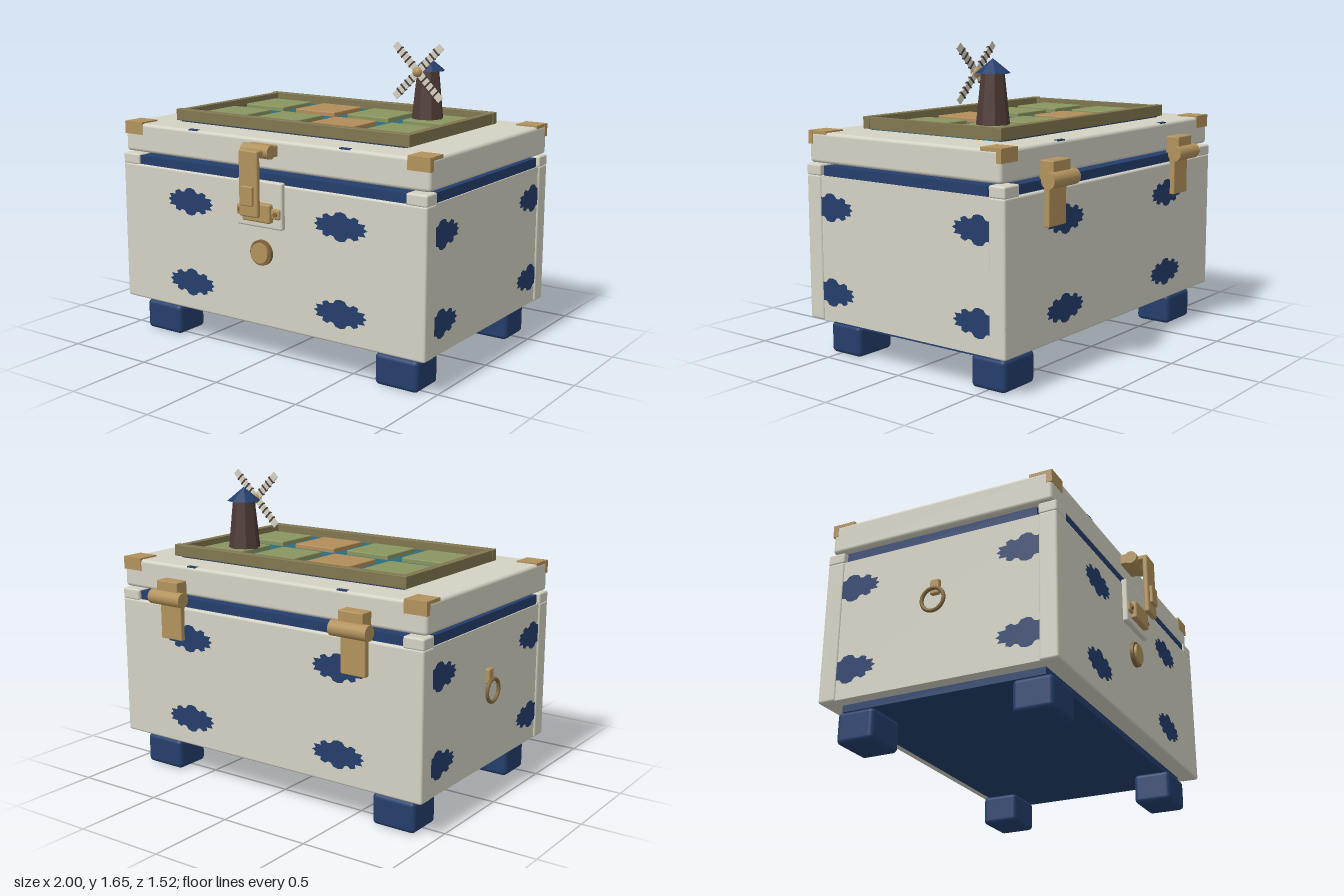
import * as THREE from 'three';
import { RoundedBoxGeometry } from 'three/addons/geometries/RoundedBoxGeometry.js';

const paint = (name, color) => {
  const m = new THREE.MeshStandardMaterial({ color });
  m.name = name;
  return m;
};

export function createModel() {
  const cream = paint('cream', 0xd4d2c4);
  const blue = paint('blue', 0x243e6c);
  const brass = paint('brass', 0xb2925c);
  const darkBrass = paint('dark brass', 0x80673c);
  const teal = paint('teal', 0x2c6c82);
  const green = paint('green', 0x88955f);
  const orange = paint('orange', 0xb28d59);
  const olive = paint('olive', 0x80764f);
  const brown = paint('brown', 0x4e3a35);

  const model = new THREE.Group();
  model.name = 'chest';
  const chest = new THREE.Group(); // x is measured from the chest's middle
  chest.name = 'chestParts';
  chest.position.x = 0.015;
  model.add(chest);

  const add = (name, geo, mat, x = 0, y = 0, z = 0, parent = chest) => {
    const mesh = new THREE.Mesh(geo, mat);
    mesh.name = name;
    mesh.position.set(x, y, z);
    parent.add(mesh);
    return mesh;
  };
  // Box from its two extents on each axis, with an optional rounded edge
  const box = (name, mat, [x0, x1], [y0, y1], [z0, z1], r = 0, parent = chest) => {
    const s = [x1 - x0, y1 - y0, z1 - z0];
    const geo = r ? new RoundedBoxGeometry(...s, 3, r) : new THREE.BoxGeometry(...s);
    return add(name, geo, mat, (x0 + x1) / 2, (y0 + y1) / 2, (z0 + z1) / 2, parent);
  };
  const mirrored = (s, a, b) => (s > 0 ? [a, b] : [-b, -a]);

  // Feet and base
  for (const s of [-1, 1])
    for (const z of [[0.352, 0.562], [-0.61, -0.4]])
      box('foot', blue, mirrored(s, 0.65, 0.9), [0, 0.168], z, 0.025);
  box('base', blue, [-0.9, 0.9], [0.163, 0.205], [-0.58, 0.53]);

  // Body: core with thick front and back panels, capped corners
  box('body', cream, [-0.972, 0.972], [0.2, 0.967], [-0.6, 0.55]);
  box('frontPanel', cream, [-0.98, 0.98], [0.197, 0.97], [0.53, 0.628], 0.012);
  box('backPanel', cream, [-0.98, 0.98], [0.197, 0.97], [-0.675, -0.578], 0.012);
  box('rimLong', blue, [-0.862, 0.862], [0.96, 1.018], [-0.655, 0.618]);
  box('rimWide', blue, [-0.965, 0.965], [0.96, 1.018], [-0.565, 0.517]);
  for (const s of [-1, 1])
    for (const z of [[0.53, 0.628], [-0.675, -0.578]])
      box('cornerCap', cream, mirrored(s, 0.862, 0.98), [0.965, 1.025], z, 0.01);

  // Lid with brass corners
  box('lid', cream, [-0.98, 0.98], [1.033, 1.192], [-0.653, 0.603], 0.018);
  for (const s of [-1, 1])
    for (const f of [-1, 1]) {
      const zEdge = f > 0 ? 0.606 : -0.657;
      const span = (d) => (f > 0 ? [zEdge - d, zEdge] : [zEdge, zEdge + d]);
      box('cornerTop', brass, mirrored(s, 0.855, 0.979), [1.182, 1.2], span(0.125));
      box('cornerFace', brass, mirrored(s, 0.855, 0.982), [1.13, 1.198], span(0.03));
    }

  // Painted flowers
  const quarter = [[0, 0.076], [0.028, 0.07], [0.042, 0.052], [0.06, 0.048], [0.08, 0.06],
    [0.108, 0.05], [0.105, 0.032], [0.15, 0.03], [0.137, 0.012]];
  const upper = [...quarter.slice(1).reverse().map(([x, y]) => [-x, y]), ...quarter];
  const outline = [[-0.16, 0], ...upper, [0.16, 0], ...upper.map(([x, y]) => [-x, -y])];
  const flower = new THREE.ShapeGeometry(new THREE.Shape(outline.map(([x, y]) => new THREE.Vector2(x, y))));
  for (const y of [0.355, 0.805])
    for (const s of [-1, 1]) {
      add('frontFlower', flower, blue, s * 0.49, y, 0.6305);
      add('backFlower', flower, blue, s * 0.49, y, -0.6775).rotation.y = Math.PI;
      for (const z of [0.465, -0.515])
        add('sideFlower', flower, blue, s * 0.9745, y, z).rotation.y = s * Math.PI / 2;
    }
  for (const s of [-1, 1])
    for (const z of [0.585, -0.635])
      box('lidPetal', blue, [s * 0.49 - 0.03, s * 0.49 + 0.03], [1.187, 1.194], [z - 0.012, z + 0.012]);

  // Framed field on the lid
  box('fieldFloor', teal, [-0.73, 0.73], [1.185, 1.215], [-0.46, 0.405]);
  box('fieldBase', blue, [-0.735, 0.715], [1.187, 1.203], [-0.465, 0.41]);
  for (const z of [[-0.484, -0.442], [0.386, 0.43]])
    box('frameLong', olive, [-0.758, 0.76], [1.2, 1.264], z, 0.004);
  for (const s of [-1, 1])
    box('frameShort', olive, mirrored(s, 0.714, 0.755), [1.2, 1.26], [-0.45, 0.395]);
  [-0.54, -0.182, 0.174, 0.534].forEach((x, i) => {
    [-0.225, 0.163].forEach((z, j) => {
      const mat = i === 1 + j ? orange : green;
      box('fieldTile', mat, [x - 0.135, x + 0.135], [1.21, 1.24], [z - 0.138, z + 0.138], 0.006);
    });
  });

  // Windmill
  const mill = new THREE.Group();
  mill.name = 'windmill';
  mill.position.set(0.48, 0, -0.215);
  chest.add(mill);
  const tower = add('tower', new THREE.CylinderGeometry(0.06, 0.088, 0.27, 8).toNonIndexed(), brown, 0, 1.37, 0, mill);
  const roof = add('roof', new THREE.ConeGeometry(0.092, 0.075, 8).toNonIndexed(), blue, 0, 1.537, 0, mill);
  for (const m of [tower, roof]) m.geometry.computeVertexNormals();
  const axle = add('axle', new THREE.CylinderGeometry(0.012, 0.012, 0.09, 10), brass, 0, 1.5, 0.07, mill);
  axle.rotation.x = Math.PI / 2;
  add('hub', new THREE.SphereGeometry(0.028, 16, 12), brass, 0, 1.5, 0.11, mill);
  for (let i = 0; i < 4; i++) {
    const blade = new THREE.Group();
    blade.name = 'blade';
    blade.position.set(0, 1.5, 0.108);
    blade.rotation.z = Math.PI / 4 + i * Math.PI / 2;
    mill.add(blade);
    box('sail', cream, [0.015, 0.2], [-0.019, 0.019], [-0.004, 0.004], 0, blade);
    for (let k = 0; k < 4; k++) {
      const x = 0.05 + k * 0.034;
      box('slat', brown, [x, x + 0.009], [-0.022, 0.022], [-0.007, 0.007], 0, blade);
    }
  }

  // Front latch
  const rod = (name, mat, r, len, x, y, z, axis) => {
    const m = add(name, new THREE.CylinderGeometry(r, r, len, 24), mat, x, y, z);
    if (axis === 'x') m.rotation.z = Math.PI / 2;
    else m.rotation.x = Math.PI / 2;
    return m;
  };
  box('latchPlate', cream, [-0.146, 0.146], [0.738, 0.985], [0.62, 0.655], 0.01);
  box('latchMount', brass, [-0.085, 0.085], [1.11, 1.17], [0.595, 0.65], 0.008);
  rod('latchHinge', brass, 0.036, 0.175, 0, 1.14, 0.66, 'x');
  box('latchArm', brass, [-0.06, 0.06], [1.125, 1.155], [0.66, 0.745], 0.01);
  box('latchStrap', brass, [-0.06, 0.06], [0.81, 1.15], [0.716, 0.745], 0.01);
  box('latchButton', brass, [-0.038, 0.038], [0.87, 0.972], [0.735, 0.76], 0.006);
  box('latchCatch', brass, [-0.09, 0.09], [0.772, 0.872], [0.645, 0.685], 0.01);
  box('latchTab', brass, [-0.14, 0.14], [0.795, 0.85], [0.645, 0.668], 0.01);
  for (const s of [-1, 1]) rod('latchScrew', darkBrass, 0.012, 0.01, s * 0.115, 0.822, 0.67, 'z');

  // Keyhole disc
  rod('lockRim', darkBrass, 0.068, 0.025, 0, 0.6, 0.635, 'z');
  rod('lockDisc', brass, 0.054, 0.04, 0, 0.6, 0.64, 'z');

  // Back hinges
  for (const s of [-1, 1]) {
    const x = s * 0.597;
    rod('hingeBarrel', brass, 0.04, 0.22, x, 1.022, -0.722, 'x');
    box('hingeTop', brass, [x - 0.073, x + 0.073], [1.02, 1.115], [-0.728, -0.645], 0.006);
    box('hingeLeaf', brass, [x - 0.073, x + 0.073], [0.79, 1.01], [-0.704, -0.67], 0.006);
  }

  // Ring pull on the right-hand end
  box('ringMount', brass, [-0.995, -0.965], [0.655, 0.735], [-0.05, 0], 0.008);
  add('ring', new THREE.TorusGeometry(0.061, 0.01, 10, 32), darkBrass, -1.004, 0.62, -0.025).rotation.y = Math.PI / 2;

  return model;
}
